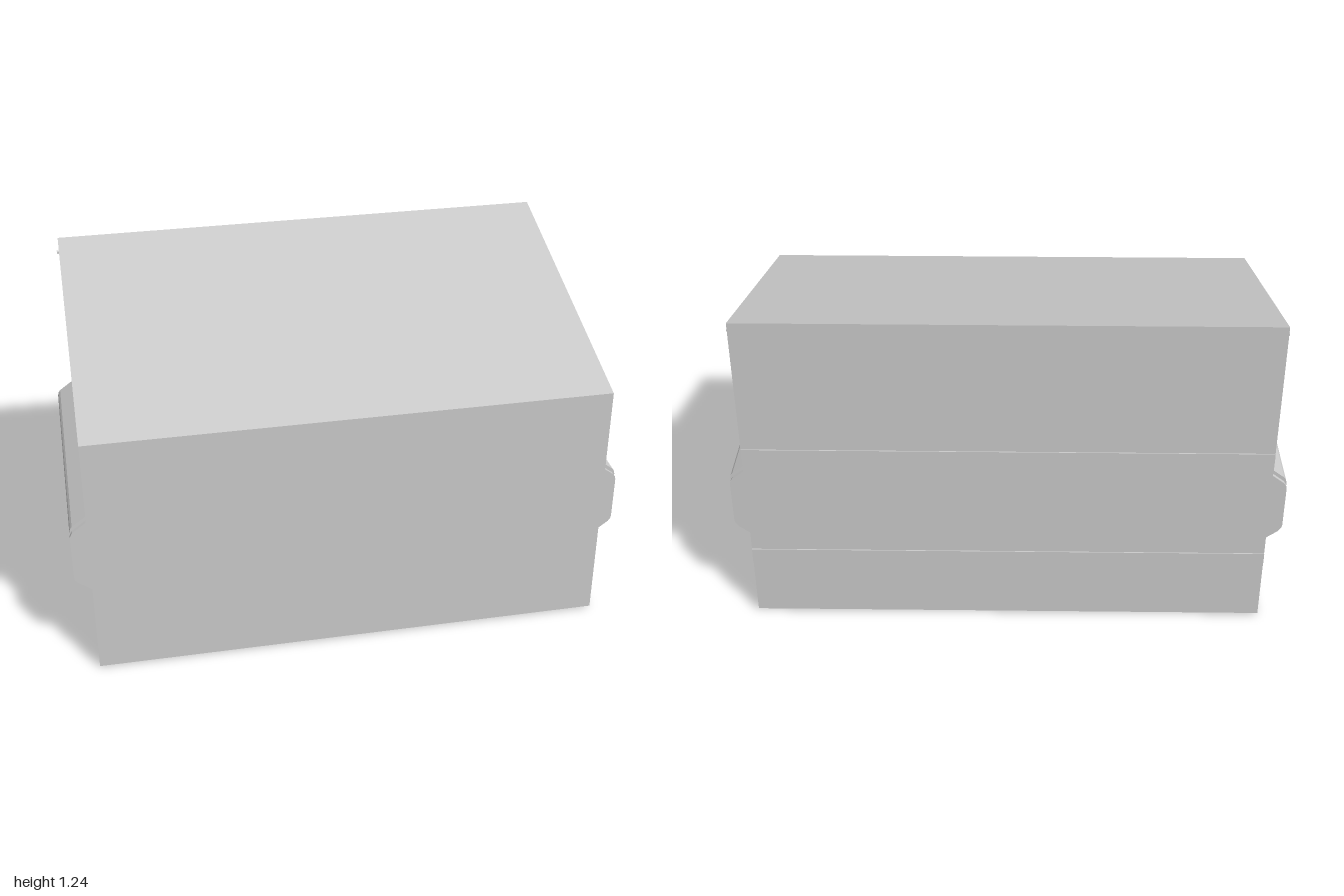
import * as THREE from 'three';

const material = new THREE.MeshStandardMaterial({ color: 0xcccccc });

function add(parent, geometry, name, x = 0, y = 0, z = 0) {
  const mesh = new THREE.Mesh(geometry, material);
  mesh.name = name;
  mesh.position.set(x, y, z);
  parent.add(mesh);
  return mesh;
}

// Extrude an outline of [across, up] points, centred on its depth.
function prism(points, depth) {
  const shape = new THREE.Shape(points.map(([a, b]) => new THREE.Vector2(a, b)));
  const geometry = new THREE.ExtrudeGeometry(shape, { depth, bevelEnabled: false });
  return geometry.translate(0, 0, -depth / 2);
}

// Half-hexagonal rail section with softened outer bends, from the wall to x = 1.
function railSection(halfHeight, halfFlat) {
  const upper = [[1, halfFlat - 0.012], [0.997, halfFlat], [0.99, halfFlat + 0.01], [0.94, halfHeight]];
  const lower = upper.map(([x, y]) => [x, -y]).reverse();
  return [[0.93, -halfHeight], ...lower, ...upper, [0.93, halfHeight]];
}

export function createModel() {
  const model = new THREE.Group();
  model.name = 'slopedContainer';

  // Body: side outline as (-z, y), extruded across the width
  const outline = [[-0.54, 0.006], [0.536, 0.006], [0.536, 1.24], [-0.54, 0.952]];
  add(model, prism(outline, 1.88).rotateY(Math.PI / 2), 'body');

  // Shallow bands across the back
  for (const y of [0.262, 0.703]) {
    add(model, new THREE.BoxGeometry(1.88, 0.056, 0.02), 'backBand', 0, y, -0.53);
  }

  for (const side of [1, -1]) {
    const half = new THREE.Group();
    half.name = side > 0 ? 'leftFittings' : 'rightFittings';
    half.rotation.y = side > 0 ? 0 : Math.PI;
    model.add(half);

    // Lifting rail with slightly smaller end caps
    add(half, prism(railSection(0.157, 0.11), 0.98), 'sideRail', 0, 0.478, 0);
    add(half, prism(railSection(0.142, 0.094), 1.01), 'railEndCaps', 0, 0.478, 0);

    // Skid strip under the floor
    add(half, new THREE.BoxGeometry(0.2, 0.012, 0.95), 'skid', 0.66, 0.006, 0);

    // Lid hinge pin near the top back corner
    const pin = new THREE.CylinderGeometry(0.006, 0.006, 0.02, 12).rotateZ(Math.PI / 2);
    add(half, pin, 'hingePin', 0.938, 1.196, -0.502 * side);
  }
  return model;
}
